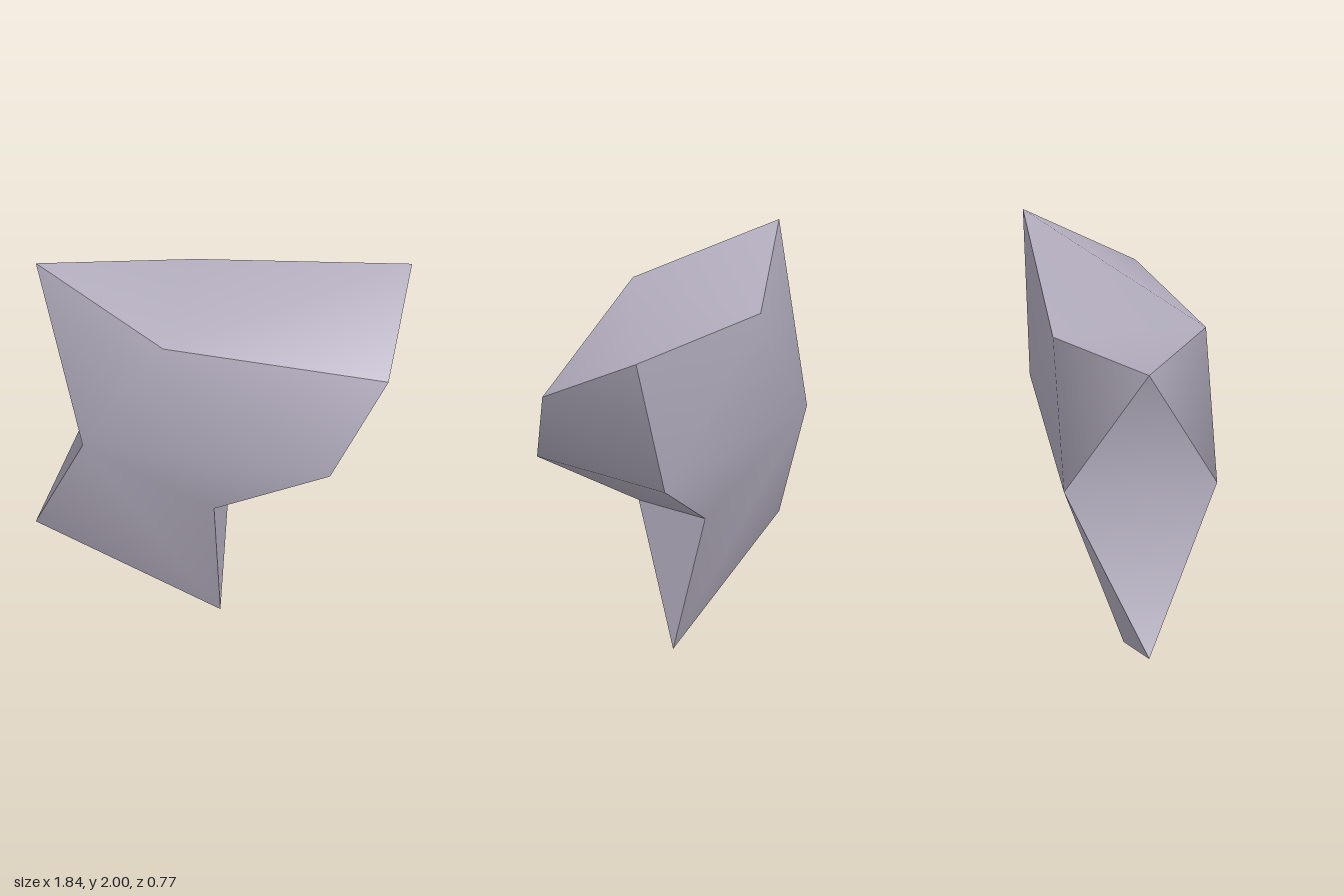
import * as THREE from 'three';

// Corner points; those ending in F lie on the front, in B on the back
const P = {
  peak: [-0.92, 2, 0],
  rimF: [-0.19, 1.86, 0.385], rimB: [-0.19, 1.86, -0.385],
  tipF: [0.915, 1.675, 0.18], tipB: [0.915, 2, -0.385],
  elbowF: [0.66, 1.2, 0.385], elbowB: [0.66, 1.2, -0.385],
  kneeF: [0.03, 0.77, 0.2], kneeB: [0.03, 0.77, -0.2],
  waistF: [-0.6, 1.2, 0.385], waistB: [-0.6, 1.2, -0.385],
  toe: [0.02, 0, 0],
  heel: [-0.92, 0.4, 0],
};

// One smooth panel with its own corners, so borders between panels stay sharp
function panel(name, triangles, material) {
  const names = [...new Set(triangles.flat())];
  const geo = new THREE.BufferGeometry();
  geo.setAttribute('position', new THREE.Float32BufferAttribute(names.flatMap(n => P[n]), 3));
  geo.setIndex(triangles.flat().map(n => names.indexOf(n)));
  geo.computeVertexNormals();
  const mesh = new THREE.Mesh(geo, material);
  mesh.name = name;
  return mesh;
}

// Broad side panel, wound counterclockwise for the front and reversed for the back
function broadSide(s) {
  const tris = [
    ['peak', 'waist' + s, 'rim' + s],
    ['waist' + s, 'elbow' + s, 'rim' + s],
    ['rim' + s, 'elbow' + s, 'tip' + s],
    ['waist' + s, 'knee' + s, 'elbow' + s],
    ['waist' + s, 'toe', 'knee' + s],
    ['waist' + s, 'heel', 'toe'],
  ];
  return s === 'F' ? tris : tris.map(t => t.reverse());
}

export function createModel() {
  const stone = new THREE.MeshStandardMaterial({ color: 0xb4aebf });
  stone.name = 'lilac grey stone';
  const group = new THREE.Group();
  group.name = 'stoneShard';
  group.add(
    panel('frontFace', broadSide('F'), stone),
    panel('backFace', broadSide('B'), stone),
    panel('topFace', [
      ['peak', 'rimF', 'rimB'], ['rimF', 'tipB', 'rimB'], ['rimF', 'tipF', 'tipB'],
    ], stone),
    panel('overhang', [
      ['tipF', 'elbowF', 'elbowB'], ['tipF', 'elbowB', 'tipB'],
      ['elbowF', 'kneeF', 'kneeB'], ['elbowF', 'kneeB', 'elbowB'],
    ], stone),
    panel('footFace', [['kneeF', 'toe', 'kneeB']], stone),
    panel('notch', [['peak', 'waistB', 'waistF'], ['waistB', 'heel', 'waistF']], stone),
  );
  return group;
}
